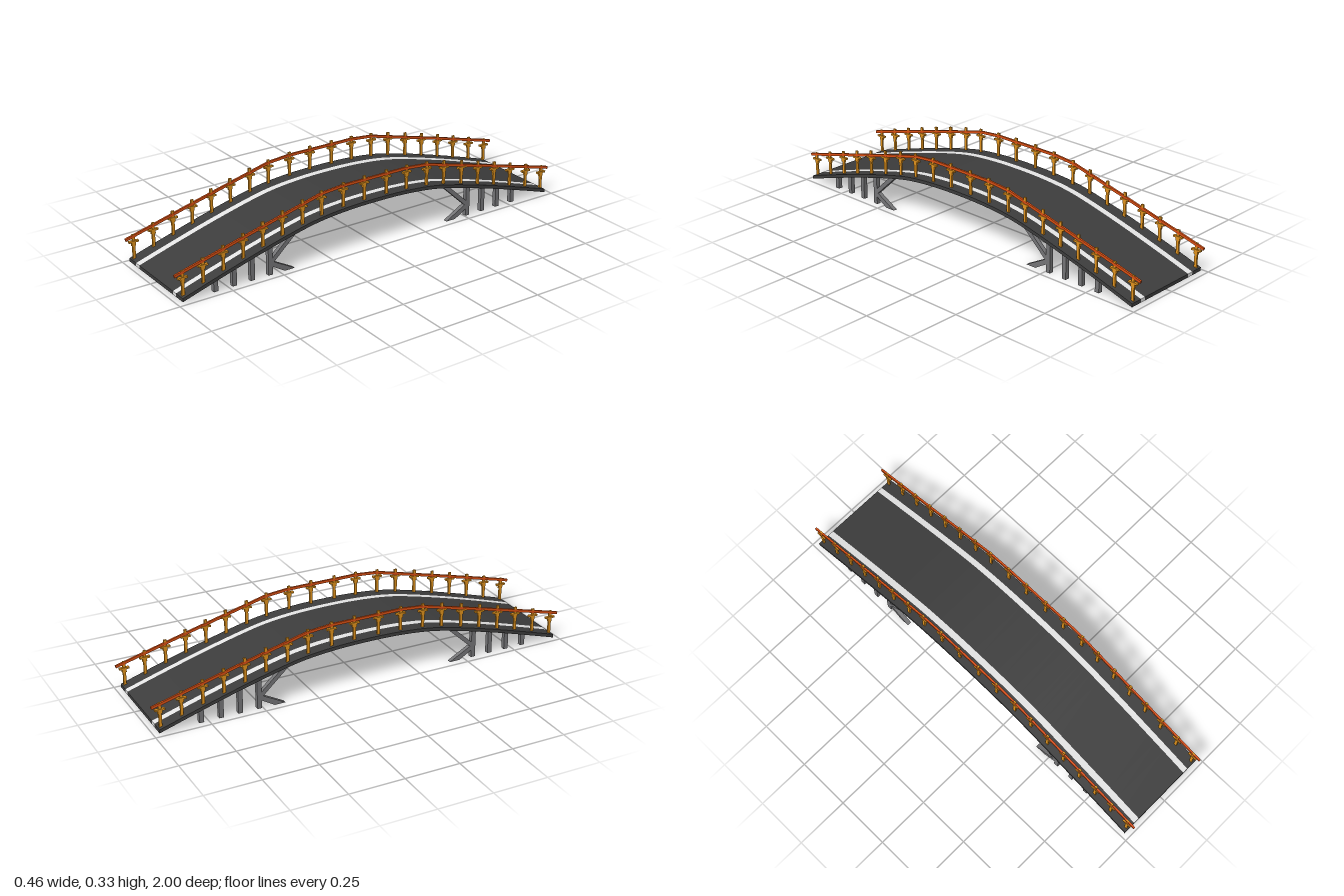
import * as THREE from 'three';

const mat = (name, color) => {
  const m = new THREE.MeshStandardMaterial({ color });
  m.name = name;
  return m;
};

export function createModel() {
  const asphalt = mat('asphalt', 0x3d3d3d);
  const stripePaint = mat('stripePaint', 0xe4e4e4);
  const concrete = mat('concrete', 0x757577);
  const postWood = mat('postWood', 0xe0921c);
  const railWood = mat('railWood', 0xdb4f12);

  const bridge = new THREE.Group();
  bridge.name = 'archedBridge';

  // Half of the deck's top line as (z, y), mirrored and smoothed
  const half = [[0.975, 0.021], [0.8, 0.075], [0.6, 0.133], [0.4, 0.184], [0.28, 0.206], [0.14, 0.218]];
  const line = [...half, [0, 0.221], ...half.map(([z, y]) => [-z, y]).reverse()];
  const curve = new THREE.SplineCurve(line.map(([z, y]) => new THREE.Vector2(z, y)));
  const top = curve.getPoints(48);
  const deckY = (z) => {
    const i = Math.max(1, top.findIndex((p) => p.x <= z));
    const a = top[i - 1], b = top[i];
    return a.y + ((b.y - a.y) * (z - a.x)) / (b.x - a.x);
  };

  const box = (name, material, w, h, d, x, y, z, parent) => {
    const m = new THREE.Mesh(new THREE.BoxGeometry(w, h, d), material);
    m.name = name;
    m.position.set(x, y, z);
    parent.add(m);
    return m;
  };
  // Box running between two (z, y) points at a given x
  const beam = (name, material, x, a, b, w, h, parent) => {
    const dz = b[0] - a[0], dy = b[1] - a[1];
    const m = box(name, material, w, h, Math.hypot(dz, dy), x, (a[1] + b[1]) / 2, (a[0] + b[0]) / 2, parent);
    m.rotation.x = -Math.atan2(dy, dz);
  };
  // Side outline of (z, y) points, extruded from x0 to x1
  const slab = (name, material, points, x0, x1, parent) => {
    const g = new THREE.ExtrudeGeometry(new THREE.Shape(points), { depth: x1 - x0, bevelEnabled: false });
    g.rotateY(-Math.PI / 2).translate(x1, 0, 0);
    const m = new THREE.Mesh(g, material);
    m.name = name;
    parent.add(m);
  };

  // Deck, cut lengthwise into road and stripe strips
  const thick = 0.016;
  const profile = [...top, ...top.map((p) => new THREE.Vector2(p.x, p.y - thick)).reverse()];
  slab('rightVerge', asphalt, profile, -0.23, -0.171, bridge);
  slab('rightStripe', stripePaint, profile, -0.171, -0.142, bridge);
  slab('road', asphalt, profile, -0.142, 0.147, bridge);
  slab('leftStripe', stripePaint, profile, 0.147, 0.173, bridge);
  slab('leftVerge', asphalt, profile, 0.173, 0.23, bridge);

  // Railings: posts with cross arms, and a handrail in straight runs
  const postZ = [0.962, 0.866, 0.769, 0.673, 0.576, 0.479, 0.378, 0.281, 0.169, 0.059];
  const railHalf = [[1.0, 0.119], [0.64, 0.213], [0.281, 0.304], [0.169, 0.314]];
  const rail = [...railHalf, ...railHalf.map(([z, y]) => [-z, y]).reverse()];
  for (const side of [-1, 1]) {
    const railing = new THREE.Group();
    railing.name = side > 0 ? 'leftRailing' : 'rightRailing';
    bridge.add(railing);
    const x = side * 0.21;
    for (const z of [...postZ, ...postZ.map((v) => -v)]) {
      const y = deckY(z);
      box('post', postWood, 0.008, 0.114, 0.013, x, y + 0.055, z, railing);
      box('postCollar', postWood, 0.009, 0.016, 0.02, x, y + 0.068, z, railing);
      box('crossArm', postWood, 0.014, 0.008, 0.046, x, y + 0.079, z, railing);
    }
    for (let i = 1; i < rail.length; i++) beam('handrail', railWood, x, rail[i - 1], rail[i], 0.009, 0.012, railing);
  }

  // Supports: three columns and a braced pier at each corner,
  // with the back rows set slightly closer to the middle
  for (const side of [-1, 1]) {
    for (const end of [-1, 1]) {
      const support = new THREE.Group();
      support.name = end > 0 ? 'frontSupport' : 'backSupport';
      bridge.add(support);
      const x = side * 0.208;
      const place = (z) => end * (end > 0 ? z : z - 0.03);
      for (const z of [0.812, 0.722, 0.634, 0.546]) {
        const h = deckY(place(z)) - 0.01;
        box(z < 0.6 ? 'pier' : 'column', concrete, 0.02, h, 0.021, x, h / 2, place(z), support);
      }
      const braces = {
        upperBrace: [[0.546, 0.067], [0.546, 0.04], [0.4, 0.174], [0.435, 0.168]],
        lowerBrace: [[0.546, 0.066], [0.546, 0.042], [0.475, 0], [0.425, 0]],
      };
      for (const [name, pts] of Object.entries(braces)) {
        const outline = pts.map(([z, y]) => new THREE.Vector2(place(z), y));
        slab(name, concrete, outline, x - 0.01, x + 0.01, support);
      }
    }
  }
  return bridge;
}
